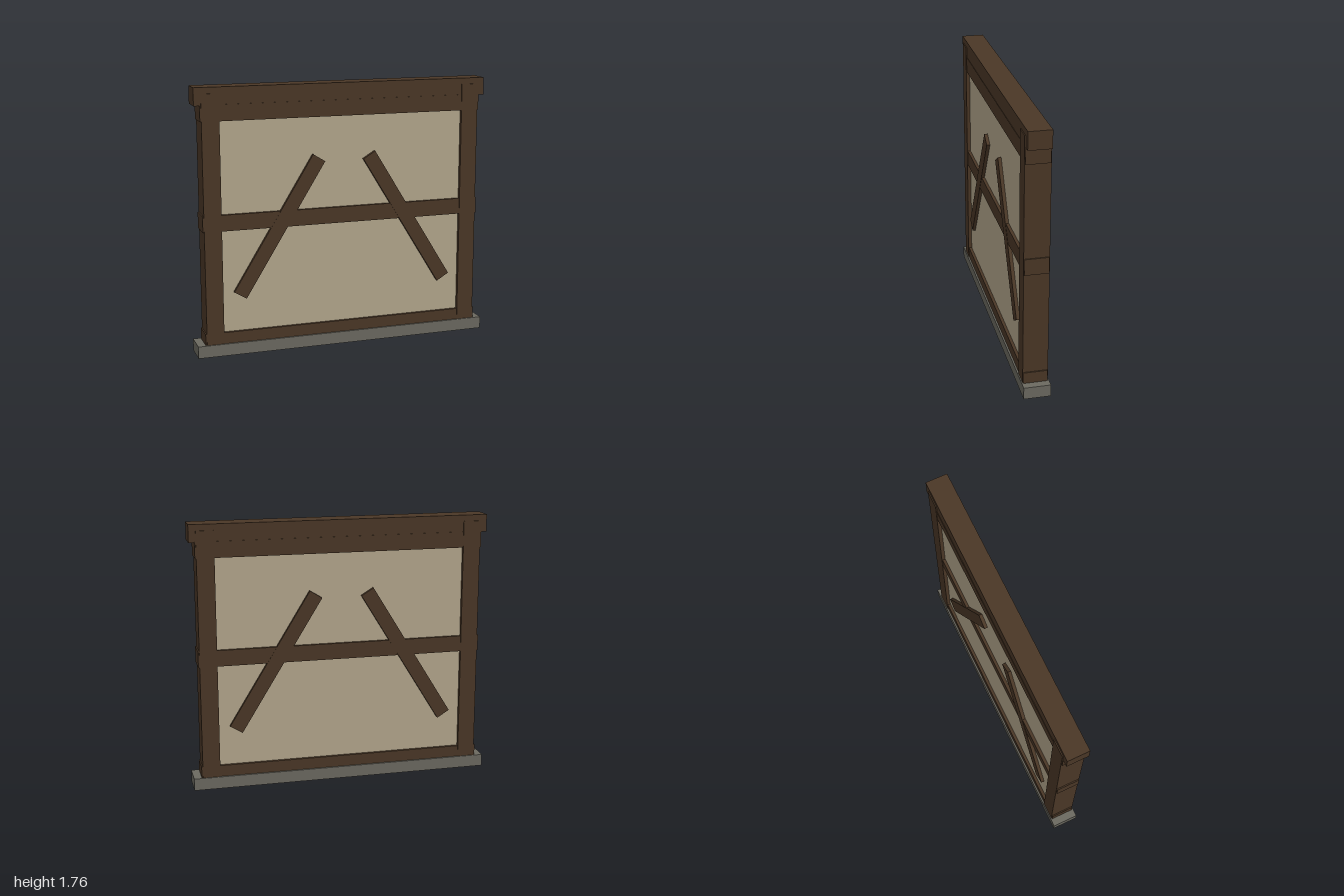
import * as THREE from 'three';

export function createModel() {
  const group = new THREE.Group();
  const material = (name, color) => {
    const m = new THREE.MeshStandardMaterial({ color });
    m.name = name;
    return m;
  };
  const timber = material('dark timber', 0x4a3726);
  const plaster = material('plaster', 0xb3a68c);
  const stone = material('stone', 0x6b6960);

  // Box given by its half width, bottom, top and half depth
  const block = (name, mat, halfX, y0, y1, halfZ, x = 0) => {
    const mesh = new THREE.Mesh(new THREE.BoxGeometry(halfX * 2, y1 - y0, halfZ * 2), mat);
    mesh.name = name;
    mesh.position.set(x, (y0 + y1) / 2, 0);
    group.add(mesh);
    return mesh;
  };

  // Footing and wall infill
  block('stoneFooting', stone, 1, 0, 0.08, 0.087);
  block('plasterPanel', plaster, 0.86, 0.07, 1.62, 0.056);

  // Horizontal beams
  block('bottomRail', timber, 0.948, 0.06, 0.155, 0.076);
  block('middleRail', timber, 0.948, 0.832, 0.938, 0.076);
  block('topRail', timber, 0.948, 1.54, 1.645, 0.076);
  block('capBeam', timber, 0.985, 1.64, 1.755, 0.073);

  // Posts and diagonal braces, mirrored left and right
  for (const side of [1, -1]) {
    const label = side > 0 ? 'left' : 'right';
    block(label + 'Post', timber, 0.0575, -0.0005, 1.715, 0.08, side * 0.8825);
    const brace = block(label + 'Brace', timber, 0.0475, 0.32, 1.35, 0.078, side * 0.442);
    brace.rotation.z = side * 0.551;
  }
  return group;
}
